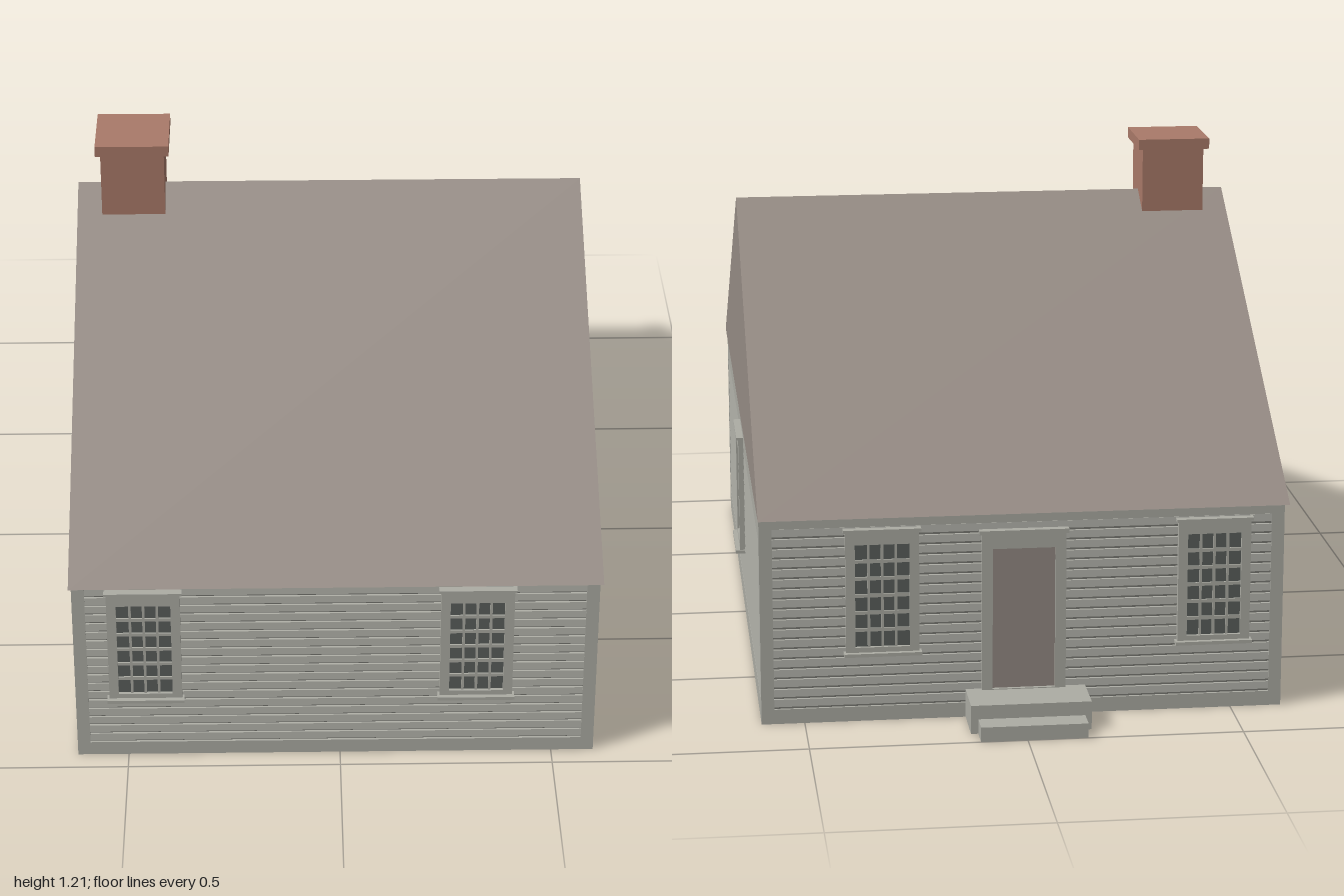
import * as THREE from 'three';

const mat = (name, color, side = THREE.FrontSide) => {
  const m = new THREE.MeshStandardMaterial({ color, side });
  m.name = name;
  return m;
};

export function createModel() {
  const paint = mat('grey paint', 0xacaca4, THREE.DoubleSide);
  const shingle = mat('brown shingle', 0x958b84);
  const brick = mat('red brick', 0xa97a69, THREE.DoubleSide);
  const glass = mat('dark glass', 0x5a5f5c);

  const house = new THREE.Group();
  house.name = 'house';

  const add = (parent, name, geometry, material) => {
    const mesh = new THREE.Mesh(geometry, material);
    mesh.name = name;
    parent.add(mesh);
    return mesh;
  };

  // Box given by its lower and upper corners; an open one has no bottom face
  const box = (parent, name, material, [x0, y0, z0], [x1, y1, z1], open = false) => {
    const g = new THREE.BoxGeometry(x1 - x0, y1 - y0, z1 - z0);
    if (open) {
      const index = Array.from(g.index.array);
      index.splice(18, 6);
      g.setIndex(index);
      g.clearGroups();
    }
    g.translate((x0 + x1) / 2, (y0 + y1) / 2, (z0 + z1) / 2);
    return add(parent, name, g, material);
  };

  const rect = (Type, x0, y0, x1, y1) => new Type([
    [x0, y0], [x1, y0], [x1, y1], [x0, y1],
  ].map(([x, y]) => new THREE.Vector2(x, y)));

  // Flat rectangular frame: outer and inner rectangles, from z to z + depth
  const frame = (parent, name, outer, inner, z, depth) => {
    const shape = rect(THREE.Shape, ...outer);
    shape.holes.push(rect(THREE.Path, ...inner));
    const g = new THREE.ExtrudeGeometry(shape, { depth, bevelEnabled: false });
    g.translate(0, 0, z);
    return add(parent, name, g, paint);
  };

  // Overlapping clapboards as one saw-tooth profile drawn along the wall
  const siding = (parent, width, y0, y1, rows) => {
    const step = (y1 - y0) / rows;
    const shape = new THREE.Shape();
    shape.moveTo(-0.009, y0);
    for (let i = 0; i < rows; i++) {
      const y = y0 + i * step;
      shape.lineTo(-0.006, y);
      shape.lineTo(0, y + 0.006);
      shape.lineTo(-0.002, y + step - 0.001);
    }
    shape.lineTo(-0.009, y1);
    const g = new THREE.ExtrudeGeometry(shape, { depth: width, bevelEnabled: false });
    g.rotateY(-Math.PI / 2);
    g.translate(width / 2, 0, 0);
    return add(parent, 'clapboards', g, paint);
  };

  // Sash window with four by six panes, head cap and sill
  const makeWindow = (wall, x) => {
    const w = new THREE.Group();
    w.name = 'window';
    w.position.x = x;
    wall.add(w);
    const [hx, y0, y1] = [0.063, 0.183, 0.43];
    frame(w, 'windowFrame', [-0.085, 0.17, 0.085, 0.462], [-hx, y0, hx, y1], -0.004, 0.016);
    box(w, 'windowGlass', glass, [-hx, y0, 0.001], [hx, y1, 0.004]);
    for (let i = 1; i < 4; i++) {
      const c = -hx + (2 * hx * i) / 4;
      box(w, 'verticalGlazingBar', paint, [c - 0.003, y0, 0.004], [c + 0.003, y1, 0.008]);
    }
    for (let i = 1; i < 6; i++) {
      const c = y0 + ((y1 - y0) * i) / 6;
      box(w, 'horizontalGlazingBar', paint, [-hx, c - 0.004, 0.004], [hx, c + 0.004, 0.008]);
    }
    box(w, 'windowHead', paint, [-0.09, 0.46, -0.004], [0.09, 0.467, 0.017]);
    box(w, 'windowSill', paint, [-0.09, 0.163, -0.004], [0.09, 0.171, 0.023]);
  };

  // One wall face, with its outer surface at local z = 0
  const makeWall = (name, width, x, z, turn, y0, y1, rows, windows) => {
    const wall = new THREE.Group();
    wall.name = name;
    wall.position.set(x, 0, z);
    wall.rotation.y = turn;
    house.add(wall);
    const h = width / 2;
    frame(wall, 'wallTrim', [-h, 0, h, 0.505], [-h + 0.03, y0, h - 0.03, y1], -0.01, 0.01);
    siding(wall, width - 0.06, y0, y1, rows);
    windows.forEach((wx) => makeWindow(wall, wx));
    return wall;
  };

  // Hollow wall shell, open underneath
  const shell = frame(house, 'wallShell', [-0.61, -0.94, 0.59, 0.82], [-0.606, -0.936, 0.586, 0.816], 0, 0.505);
  shell.rotation.x = -Math.PI / 2;

  makeWall('frontWall', 1.22, -0.01, 0.95, 0, 0.035, 0.47, 18, [-0.445, 0.328]);
  makeWall('leftWall', 1.78, 0.6, 0.06, Math.PI / 2, 0.05, 0.44, 17, [-0.005]);
  makeWall('rightWall', 1.78, -0.62, 0.06, -Math.PI / 2, 0.05, 0.44, 17, []);
  const back = makeWall('backWall', 1.22, -0.01, -0.83, Math.PI, 0.035, 0.47, 18, [-0.328, 0.445]);

  // Back door
  frame(back, 'doorFrame', [-0.098, 0.06, 0.098, 0.45], [-0.073, 0.07, 0.073, 0.41], -0.004, 0.016);
  box(back, 'door', shingle, [-0.073, 0.07, -0.002], [0.073, 0.41, 0.004]);
  box(back, 'doorHead', paint, [-0.104, 0.445, -0.004], [0.104, 0.455, 0.017]);

  // Back steps, hollow underneath
  box(house, 'upperStep', paint, [-0.155, 0, -0.945], [0.125, 0.068, -0.83], true);
  box(house, 'lowerStep', paint, [-0.14, 0, -1], [0.108, 0.035, -0.945], true);

  // Solid gable roof
  const gable = new THREE.Shape([[-1, 0.503], [0.875, 0.503], [-0.06, 1.065]]
    .map(([x, y]) => new THREE.Vector2(x, y)));
  const roof = new THREE.ExtrudeGeometry(gable, { depth: 1.226, bevelEnabled: false });
  roof.rotateY(Math.PI / 2);
  roof.translate(-0.623, 0, 0);
  add(house, 'roof', roof, shingle);

  // Chimney, reaching down through the ceiling
  box(house, 'chimneyShaft', brick, [-0.563, 0.44, -0.012], [-0.41, 1.185, 0.14], true);
  box(house, 'chimneyCap', brick, [-0.575, 1.18, -0.027], [-0.398, 1.206, 0.152]);

  return house;
}
